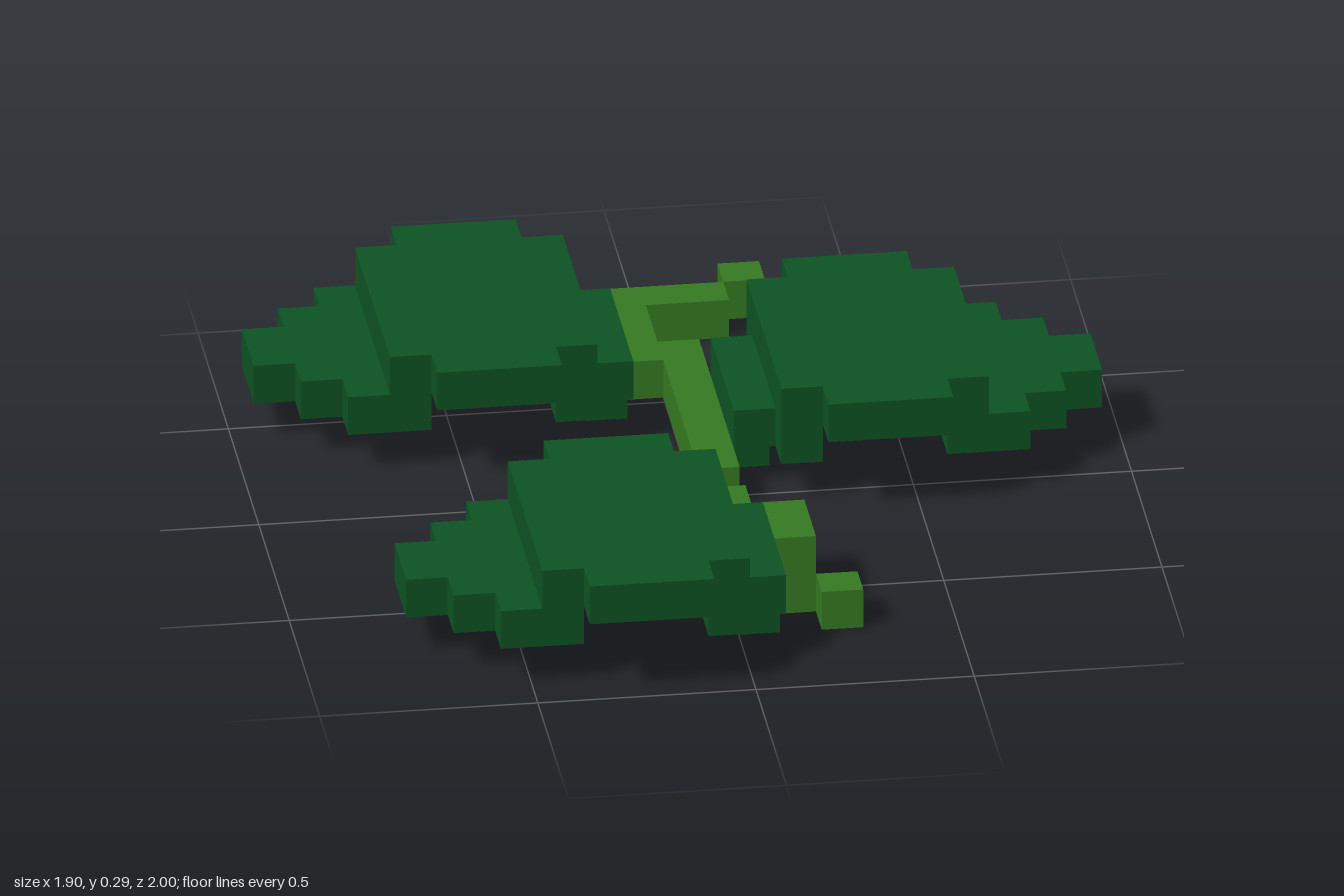
import * as THREE from 'three';

const V = 2 / 21; // edge length of one cube cell

const leafGreen = new THREE.MeshStandardMaterial({ name: 'leafGreen', color: 0x0d5323 });
const stemGreen = new THREE.MeshStandardMaterial({ name: 'stemGreen', color: 0x367a22 });

// One-cell-thick plate with a stepped outline; widths lists the depth of each column along x
function steppedPlate(name, startX, layer, widths) {
  const upper = [], lower = [];
  widths.forEach((w, i) => {
    for (const x of [startX + i, startX + i + 1]) {
      upper.push(new THREE.Vector2(x, w / 2));
      lower.unshift(new THREE.Vector2(x, -w / 2));
    }
  });
  // drop repeated points where neighbouring columns are equally deep
  const points = [...upper, ...lower].filter((p, i, all) => i === 0 || !p.equals(all[i - 1]));
  const geometry = new THREE.ExtrudeGeometry(new THREE.Shape(points), { depth: 1, bevelEnabled: false });
  geometry.rotateX(-Math.PI / 2);
  geometry.translate(0, layer, 0);
  geometry.scale(V, V, V);
  const mesh = new THREE.Mesh(geometry, leafGreen);
  mesh.name = name;
  return mesh;
}

// Arched leaf with its tip at the local origin, growing along +x towards the stem
function makeLeaf(name, tipX, centreZ, turn) {
  const leaf = new THREE.Group();
  leaf.name = name;
  leaf.add(
    steppedPlate('leafTip', 0, 1, [2, 4, 6, 6]),
    steppedPlate('leafBlade', 3, 2, [6, 8, 8, 8, 6]),
    steppedPlate('leafBase', 7, 1, [6, 4]),
    steppedPlate('leafStalk', 8, 0, [2])
  );
  leaf.position.set(tipX * V, 0, centreZ * V);
  leaf.rotation.y = turn;
  return leaf;
}

// Winding stem sections: min x, min z, size x, size z, height (in cells)
const STEM = [
  [2, -10.5, 1, 1, 1],
  [-1, -9.5, 3, 1, 1],
  [-1, -8.5, 1, 3, 1],
  [0, -6.5, 1, 7, 1],
  [-1, -0.5, 1, 3, 1],
  [0, 1.5, 1, 3, 1],
  [1, 4.5, 1, 2, 2],
  [2, 6.5, 1, 1, 1],
];

export function createModel() {
  const model = new THREE.Group();
  model.name = 'vine';

  const stem = new THREE.Group();
  stem.name = 'stem';
  STEM.forEach(([x, z, w, d, h], i) => {
    const section = new THREE.Mesh(new THREE.BoxGeometry(w * V, h * V, d * V), stemGreen);
    section.name = `stemSection${i + 1}`;
    section.position.set((x + w / 2) * V, (h / 2) * V, (z + d / 2) * V);
    stem.add(section);
  });

  model.add(
    stem,
    makeLeaf('backRightLeaf', -10, -5.5, 0),
    makeLeaf('frontRightLeaf', -8, 6.5, 0),
    makeLeaf('leftLeaf', 10, -2.5, Math.PI)
  );
  return model;
}
